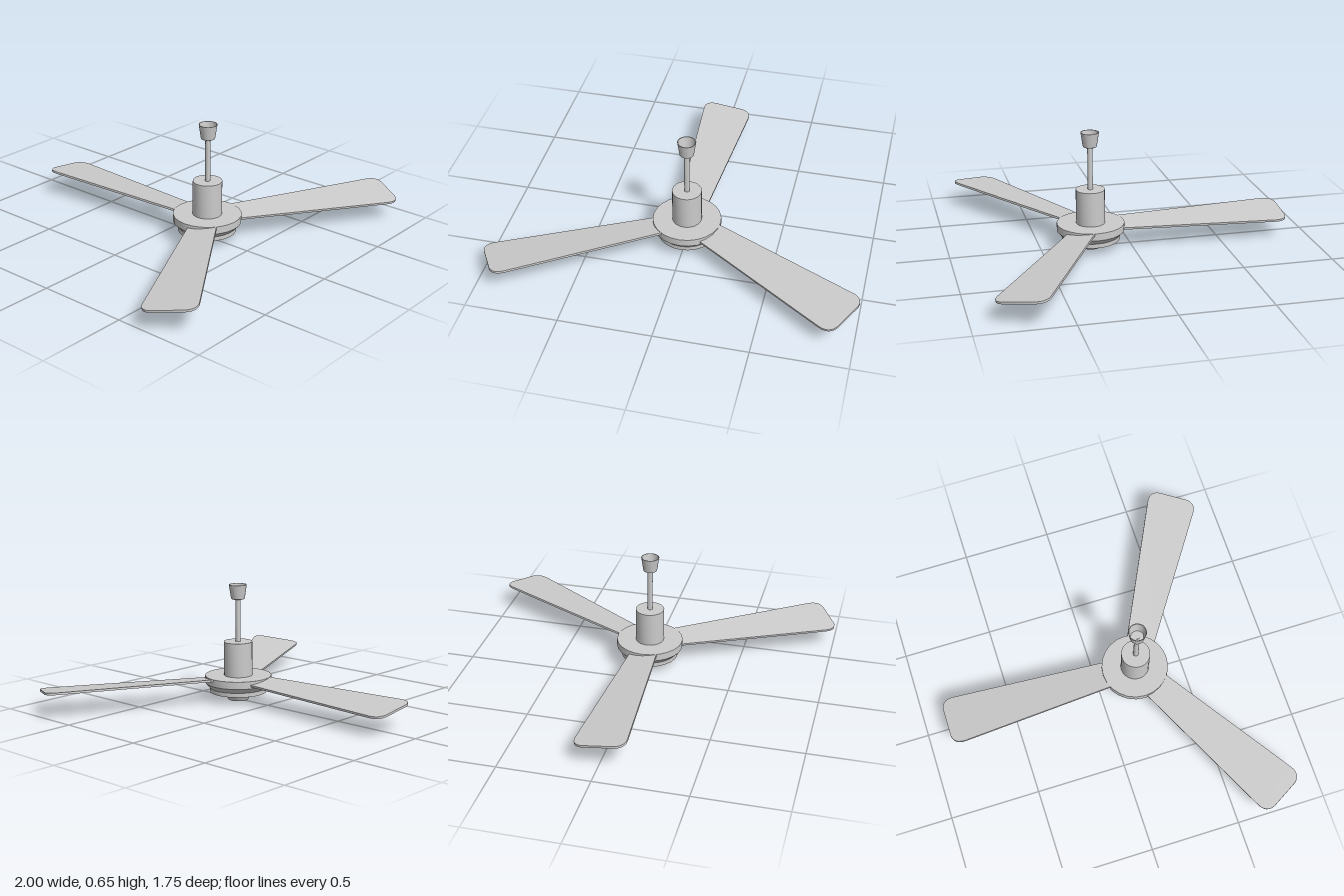
import * as THREE from 'three';
import { toCreasedNormals } from 'three/addons/utils/BufferGeometryUtils.js';

const material = new THREE.MeshStandardMaterial({ color: 0xcccccc, side: THREE.DoubleSide });

function addMesh(parent, name, geometry, crease = 0.5) {
  const mesh = new THREE.Mesh(toCreasedNormals(geometry, crease), material);
  mesh.name = name;
  parent.add(mesh);
  return mesh;
}

// Turned part from [radius, height] pairs, listed from bottom to top
function turned(parent, name, profile, sides = 24) {
  const points = profile.map(([r, y]) => new THREE.Vector2(r, y));
  return addMesh(parent, name, new THREE.LatheGeometry(points, sides));
}

// Tapered blade pointing along +x, with rounded tip corners and a slight pitch
function bladeGeometry() {
  const root = 0.12, tip = 1.1, thickness = 0.012, pitch = 0.125;
  const shape = new THREE.Shape();
  shape.moveTo(root, -0.076);
  shape.lineTo(1.03, -0.139);
  shape.quadraticCurveTo(1.092, -0.141, tip, -0.085);
  shape.lineTo(tip, 0.085);
  shape.quadraticCurveTo(1.092, 0.141, 1.03, 0.139);
  shape.lineTo(root, 0.076);
  shape.closePath();
  const geometry = new THREE.ExtrudeGeometry(shape, { depth: thickness, bevelEnabled: false, curveSegments: 6 });
  geometry.translate(0, 0, -thickness / 2);
  geometry.rotateX(-Math.PI / 2 + pitch);
  return geometry;
}

export function createModel() {
  const fan = new THREE.Group();
  fan.name = 'ceilingFan';

  // Everything turns around an axis set forward of the middle
  const axis = new THREE.Group();
  axis.name = 'fanBody';
  axis.position.z = 0.222;
  fan.add(axis);

  // Bottom cap, lower ring and hub disc
  turned(axis, 'bottomCap', [[0, 0], [0.057, 0], [0.08, 0.046]]);
  turned(axis, 'lowerRing', [[0, 0.046], [0.16, 0.046], [0.16, 0.07], [0, 0.07]]);
  turned(axis, 'hubDisc', [[0, 0.069], [0.158, 0.069], [0.187, 0.099], [0.187, 0.14], [0, 0.14]]);

  // Motor housing and hanging rod
  turned(axis, 'motorHousing', [[0.08, 0.138], [0.08, 0.332], [0, 0.332]]);
  turned(axis, 'rod', [[0.0145, 0.33], [0.0145, 0.59], [0, 0.59]], 16);

  // Open cup that meets the ceiling
  turned(axis, 'ceilingCup', [
    [0, 0.58], [0.03, 0.58], [0.033, 0.572], [0.038, 0.575],
    [0.05, 0.654], [0.046, 0.654], [0.035, 0.588], [0, 0.588],
  ]);

  // Three blades: one to the back, two to the front corners
  for (let i = 0; i < 3; i++) {
    const blade = addMesh(axis, 'blade', bladeGeometry());
    blade.position.y = 0.124;
    blade.rotation.y = Math.PI / 2 + (i * Math.PI * 2) / 3;
  }

  return fan;
}
